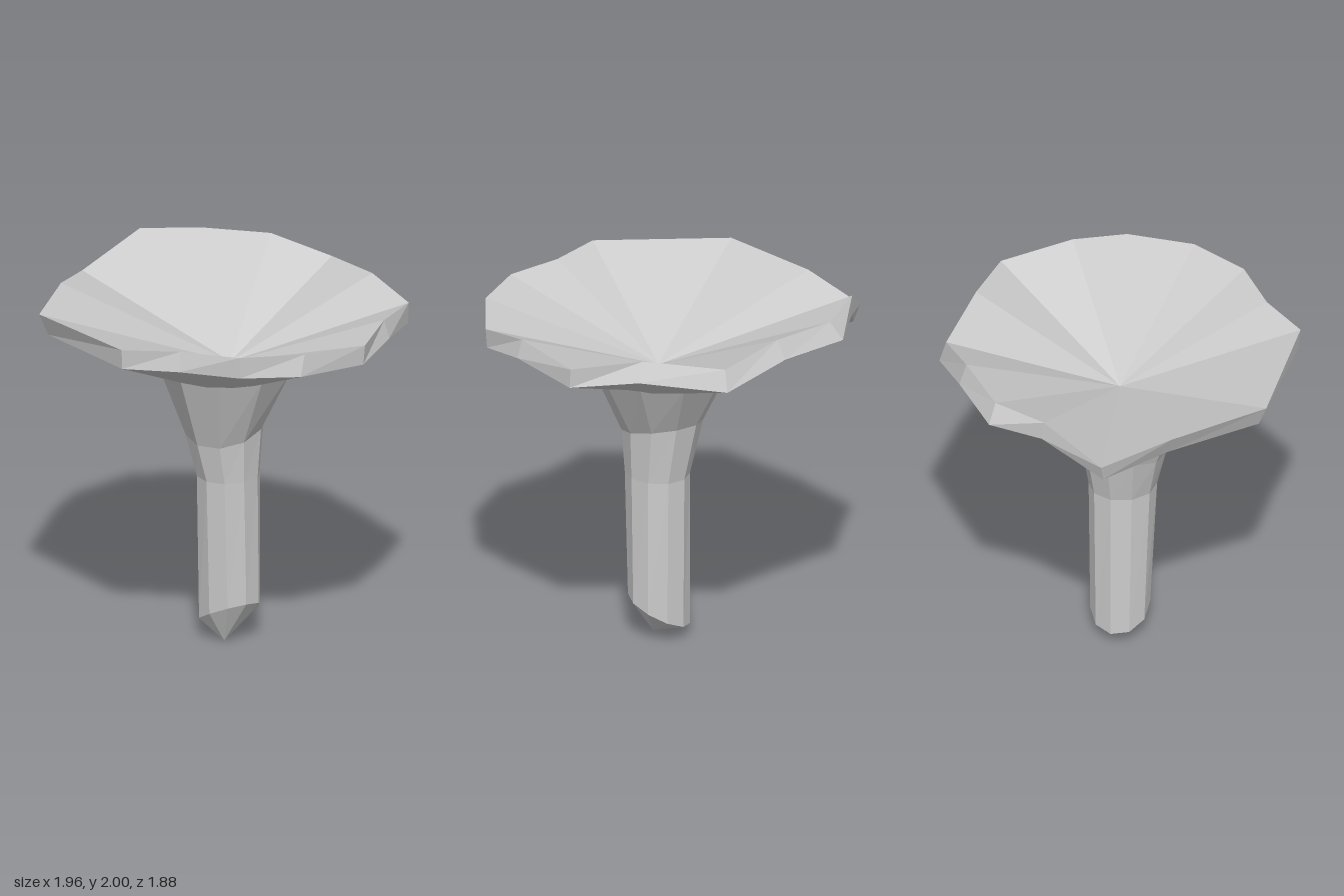
import * as THREE from 'three';

const material = new THREE.MeshStandardMaterial({ color: 0xcccccc, flatShading: true });

// Skin a stack of rings (lowest first); a one-point ring closes to a tip.
function loft(name, rings) {
  const sides = Math.max(...rings.map((r) => r.length));
  const at = (ring, i) => ring[i % ring.length];
  const pos = [];
  for (let k = 0; k < rings.length - 1; k++) {
    const a = rings[k], b = rings[k + 1];
    for (let i = 0; i < sides; i++) {
      if (a.length > 1) pos.push(...at(a, i), ...at(b, i), ...at(a, i + 1));
      if (b.length > 1) pos.push(...at(b, i), ...at(b, i + 1), ...at(a, i + 1));
    }
  }
  const geometry = new THREE.BufferGeometry();
  geometry.setAttribute('position', new THREE.Float32BufferAttribute(pos, 3));
  geometry.computeVertexNormals();
  const mesh = new THREE.Mesh(geometry, material);
  mesh.name = name;
  return mesh;
}

// Elliptical ring whose height tilts along x and z.
function ring(sides, cx, y, cz, rx, rz, tiltX = 0, tiltZ = 0) {
  return Array.from({ length: sides }, (_, i) => {
    const t = (i / sides) * Math.PI * 2, c = Math.cos(t), s = Math.sin(t);
    return [cx + rx * c, y + tiltX * c + tiltZ * s, cz + rz * s];
  });
}

export function createModel() {
  const group = new THREE.Group();
  group.name = 'mushroom';

  // Wavy rim of the cap, from +x round through the front
  const rimTop = [
    [0.95, 1.93, 0], [0.97, 1.89, 0.31], [0.75, 1.91, 0.62], [0.45, 1.91, 0.81],
    [0.12, 1.91, 0.84], [-0.18, 1.91, 0.94], [-0.82, 1.9, 0.56], [-0.93, 1.88, 0],
    [-0.98, 1.81, -0.41], [-0.75, 2.0, -0.66], [-0.47, 1.98, -0.85], [-0.09, 1.985, -0.9],
    [0.26, 1.9, -0.91], [0.61, 1.94, -0.64], [0.92, 1.89, -0.41],
  ];
  const rimBottom = [
    [0.98, 1.83, 0], [0.96, 1.78, 0.31], [0.74, 1.79, 0.65], [0.45, 1.79, 0.8],
    [0.12, 1.8, 0.86], [-0.18, 1.8, 0.93], [-0.78, 1.78, 0.53], [-0.88, 1.77, 0],
    [-0.95, 1.71, -0.39], [-0.74, 1.89, -0.67], [-0.52, 1.88, -0.9], [-0.11, 1.88, -0.945],
    [0.27, 1.78, -0.945], [0.65, 1.83, -0.66], [0.92, 1.78, -0.4],
  ];

  // Underside ring following the bearing of each rim point
  const neck = rimBottom.map(([x, , z]) => {
    const t = Math.atan2(z, x - 0.04);
    return [0.04 + 0.36 * Math.cos(t), 1.55, 0.38 * Math.sin(t)];
  });

  // Funnel-shaped cap: underside, rim band and hollow top
  group.add(loft('cap', [neck, rimBottom, rimTop, [[0.055, 1.57, 0]]]));

  // Faceted stem, flaring up into the cap and pointed below
  group.add(loft('stem', [
    [[0.045, 0, 0.06]],
    ring(10, 0.05, 0.15, 0, 0.17, 0.16, 0.07, 0.05),
    ring(10, 0.05, 0.94, 0.015, 0.17, 0.185),
    ring(10, 0.025, 1.21, 0.005, 0.21, 0.235, 0, -0.06),
    ring(10, 0.04, 1.565, 0, 0.37, 0.4),
  ]));
  return group;
}
